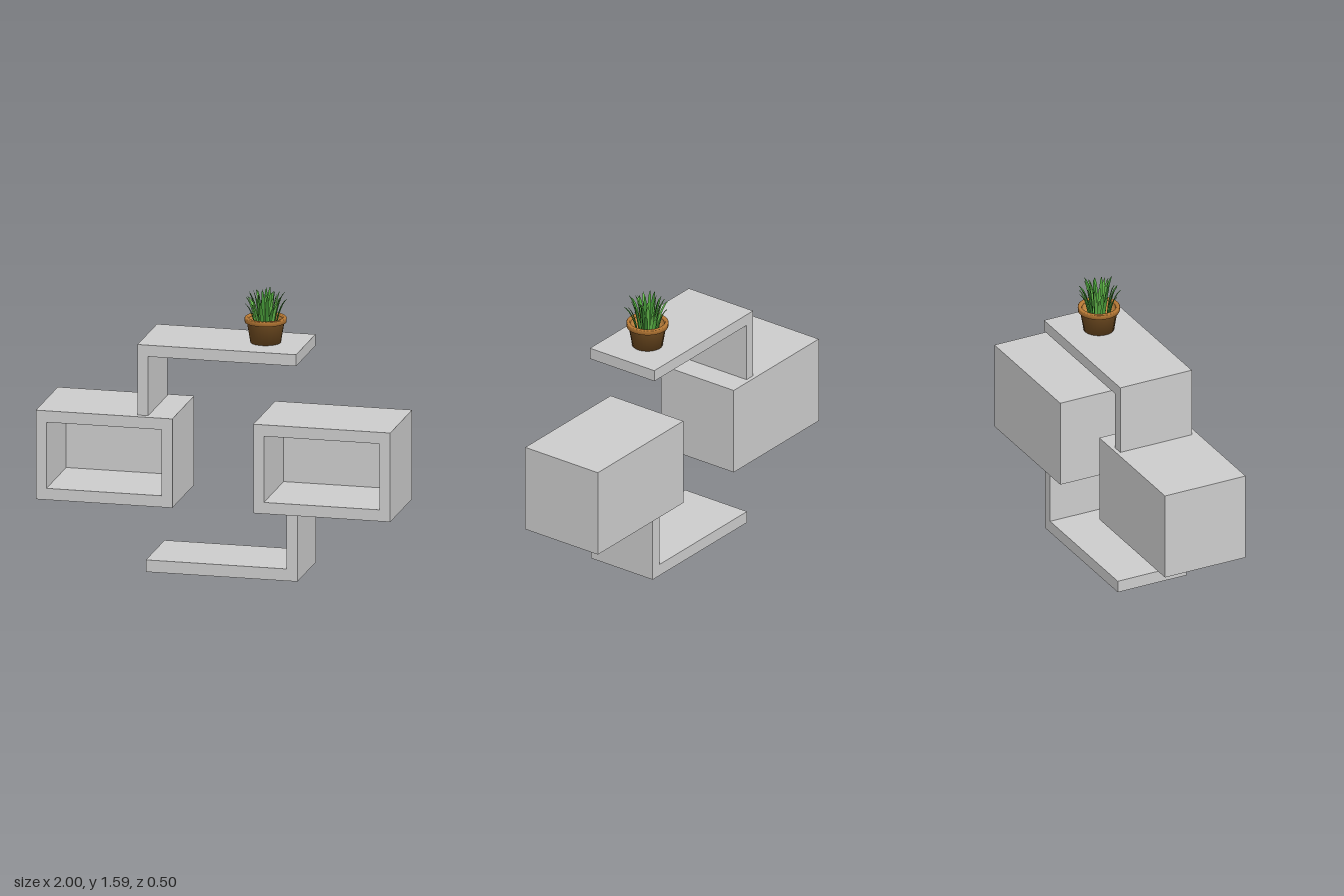
import * as THREE from 'three';

const grey = new THREE.MeshStandardMaterial({ color: 0xcccccc });
const paint = (color) => new THREE.MeshStandardMaterial({ color, side: THREE.DoubleSide });

function add(parent, name, geometry, material = grey) {
  const mesh = new THREE.Mesh(geometry, material);
  mesh.name = name;
  parent.add(mesh);
  return mesh;
}

const outline = (points) => points.map(([x, y]) => new THREE.Vector2(x, y));
const rect = (x0, y0, x1, y1) => outline([[x0, y0], [x1, y0], [x1, y1], [x0, y1]]);

// Flat outline in x and y, extruded from z0 to z1
function slab(shape, z0, z1) {
  const g = new THREE.ExtrudeGeometry(shape, { depth: z1 - z0, bevelEnabled: false });
  return g.translate(0, 0, z0);
}

// Box shelf, open to the front, with a closed back
function cubby(name, x0, x1) {
  const group = new THREE.Group();
  group.name = name;
  const frame = new THREE.Shape(rect(x0, 0.385, x1, 0.89));
  frame.holes.push(new THREE.Path(rect(x0 + 0.06, 0.45, x1 - 0.06, 0.825)));
  add(group, 'frame', slab(frame, -0.2, 0.25));
  add(group, 'backPanel', slab(new THREE.Shape(rect(x0, 0.385, x1, 0.89)), -0.25, -0.2));
  return group;
}

// Tapered, arching blade with a creased middle; leans toward +x
function bladeGeometry(baseRadius, reach, height, width) {
  const curve = new THREE.QuadraticBezierCurve(
    new THREE.Vector2(baseRadius, 0),
    new THREE.Vector2(baseRadius + (reach - baseRadius) * 0.3, height * 0.85),
    new THREE.Vector2(reach, height));
  const positions = [], index = [], steps = 7;
  for (let i = 0; i <= steps; i++) {
    const t = i / steps;
    const p = curve.getPoint(t), d = curve.getTangent(t);
    const w = width * 0.5 * (0.75 + 0.6 * t) * (1 - t * t * t) + 0.0003;
    const fold = w * 0.45;
    positions.push(p.x, p.y, -w, p.x + d.y * fold, p.y - d.x * fold, 0, p.x, p.y, w);
    if (i < steps) {
      const a = i * 3;
      for (const k of [a, a + 1]) index.push(k, k + 3, k + 1, k + 1, k + 3, k + 4);
    }
  }
  const g = new THREE.BufferGeometry();
  g.setAttribute('position', new THREE.Float32BufferAttribute(positions, 3));
  g.setIndex(index);
  g.computeVertexNormals();
  return g;
}

function pottedPlant() {
  const plant = new THREE.Group();
  plant.name = 'pottedPlant';

  // Pot body, then the rim with the inner wall and floor
  add(plant, 'potBody', new THREE.LatheGeometry(
    outline([[0, 0], [0.084, 0], [0.104, 0.118]]), 32), paint(0x6e4a20));
  add(plant, 'potRim', new THREE.LatheGeometry(
    outline([[0.102, 0.115], [0.115, 0.115], [0.116, 0.138], [0.112, 0.142],
      [0.097, 0.142], [0.093, 0.13]]), 32), paint(0xb97a35));
  add(plant, 'potInside', new THREE.LatheGeometry(
    outline([[0.093, 0.132], [0.085, 0.05], [0, 0.05]]), 32), paint(0xc98a42));

  // Rings of blades: [count, base radius, reach, height, width]
  const leaves = new THREE.Group();
  leaves.name = 'leaves';
  leaves.position.y = 0.05;
  plant.add(leaves);
  const greens = [0x4fa53c, 0x3d8a32, 0x62b84a].map(paint);
  const rings = [
    [12, 0.052, 0.122, 0.19, 0.021],
    [12, 0.042, 0.098, 0.225, 0.02],
    [9, 0.032, 0.062, 0.238, 0.019],
  ];
  rings.forEach(([count, base, reach, height, width], r) => {
    for (let i = 0; i < count; i++) {
      const vary = Math.sin(i * 2.7 + r * 1.9);
      const g = bladeGeometry(base, reach + vary * 0.01, height + Math.cos(i * 4.1 + r) * 0.011, width);
      const leaf = add(leaves, 'leaf', g, greens[(i + r) % 3]);
      leaf.rotation.y = ((i + r * 0.5) / count) * Math.PI * 2 + vary * 0.1;
    }
  });
  return plant;
}

export function createModel() {
  const model = new THREE.Group();
  model.name = 'wallShelf';

  model.add(cubby('rightCubby', -1, -0.23), cubby('leftCubby', 0.227, 1));

  // L-shaped brackets above and below the boxes
  add(model, 'upperShelf', slab(new THREE.Shape(outline([
    [-0.435, 0.89], [-0.375, 0.89], [-0.375, 1.225], [0.46, 1.225], [0.46, 1.29], [-0.435, 1.29],
  ])), -0.228, 0.215));
  add(model, 'lowerShelf', slab(new THREE.Shape(outline([
    [-0.39, 0], [0.465, 0], [0.465, 0.385], [0.403, 0.385], [0.403, 0.068], [-0.39, 0.068],
  ])), -0.22, 0.205));

  const plant = pottedPlant();
  plant.position.set(0.233, 1.29, -0.008);
  model.add(plant);
  return model;
}
